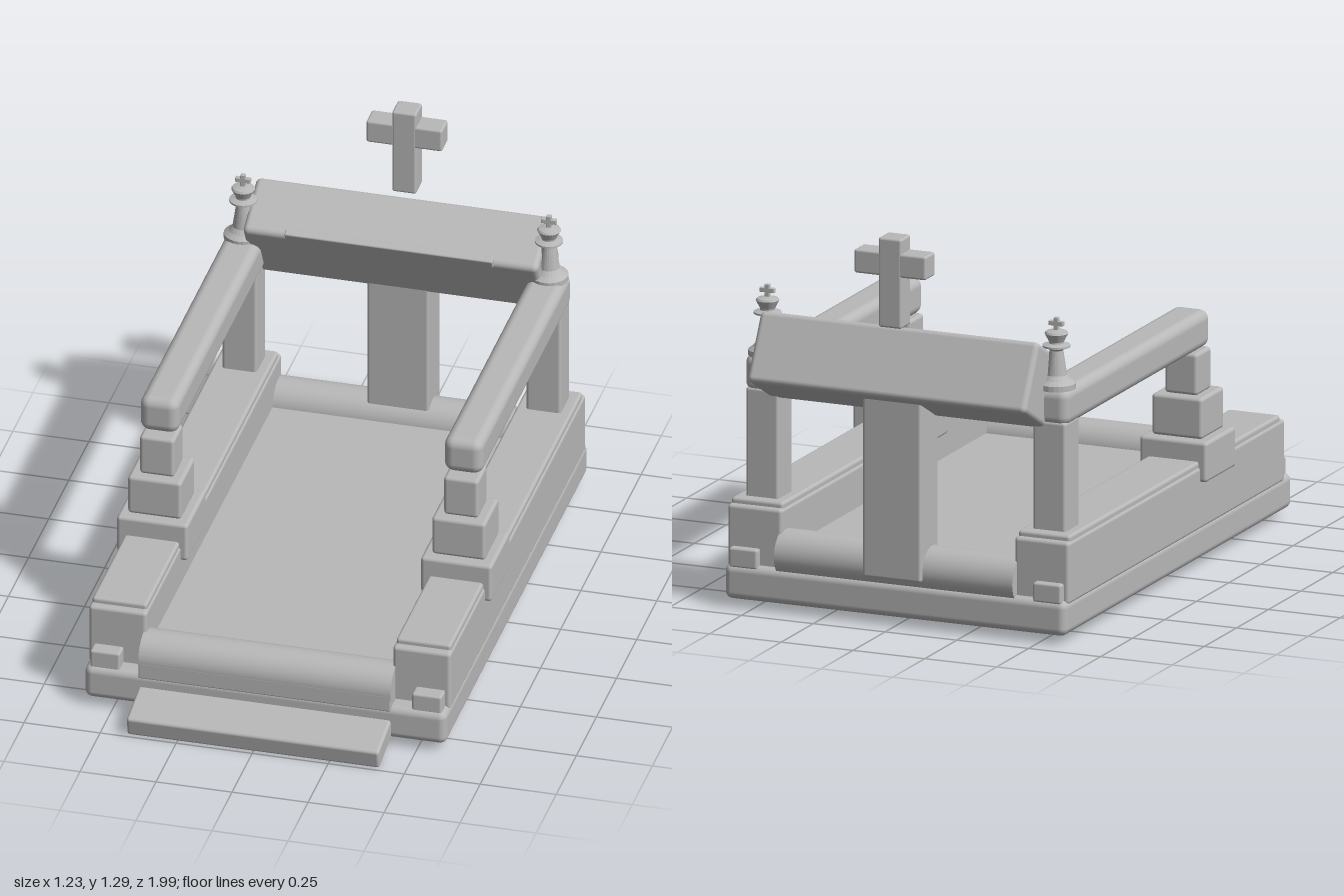
import * as THREE from 'three';
import { RoundedBoxGeometry } from 'three/addons/geometries/RoundedBoxGeometry.js';

export function createModel() {
  const model = new THREE.Group();
  model.name = 'memorial';
  const stone = new THREE.MeshStandardMaterial({ color: 0xb8b8b8 });
  stone.name = 'grey stone';

  function add(name, geometry, parent = model) {
    const mesh = new THREE.Mesh(geometry, stone);
    mesh.name = name;
    parent.add(mesh);
    return mesh;
  }

  // Rounded block given by its extents on each axis
  function block(name, [x0, x1], [y0, y1], [z0, z1], radius = 0.01, parent = model) {
    const geometry = new RoundedBoxGeometry(x1 - x0, y1 - y0, z1 - z0, 3, radius);
    const mesh = add(name, geometry, parent);
    mesh.position.set((x0 + x1) / 2, (y0 + y1) / 2, (z0 + z1) / 2);
    return mesh;
  }

  // Base and the bed between the walls
  block('base', [-0.595, 0.595], [0.03, 0.145], [-0.93, 0.845], 0.025);
  block('bed', [-0.42, 0.42], [0.1, 0.2], [-0.86, 0.77], 0.005);

  // Rolled edges at the front and the back
  for (const [name, z] of [['frontRoll', 0.77], ['backRoll', -0.86]]) {
    const roll = add(name, new THREE.CylinderGeometry(0.078, 0.078, 0.83, 32));
    roll.rotation.z = Math.PI / 2;
    roll.position.set(0, 0.187, z);
  }
  block('frontRollFoot', [-0.415, 0.415], [0.13, 0.187], [0.692, 0.848], 0.005);

  // Sloping step
  const step = block('frontStep', [-0.415, 0.415], [0.019, 0.086], [0.805, 0.995], 0.01);
  step.rotation.x = 0.2;

  // Finial outline, turned round its axis
  const finialProfile = [
    [0, 0.81], [0.062, 0.81], [0.062, 0.828], [0.046, 0.84], [0.034, 0.855],
    [0.022, 0.935], [0.028, 0.942], [0.045, 0.946], [0.045, 0.952],
    [0.024, 0.958], [0.024, 0.963], [0.038, 0.99], [0.034, 0.996], [0, 1.004],
  ].map(([r, y]) => new THREE.Vector2(r, y));

  for (const s of [-1, 1]) {
    const side = new THREE.Group();
    side.name = s > 0 ? 'leftSide' : 'rightSide';
    model.add(side);
    const span = (a, b) => (s > 0 ? [a, b] : [-b, -a]);

    // Long wall with its cap and corner blocks
    block('wall', span(0.405, 0.595), [0.13, 0.335], [-0.9, 0.785], 0.012, side);
    block('wallCap', span(0.41, 0.59), [0.32, 0.353], [-0.88, 0.76], 0.01, side);
    block('frontCornerBlock', span(0.48, 0.578), [0.135, 0.2], [0.74, 0.832], 0.008, side);
    block('backCornerBlock', span(0.48, 0.578), [0.135, 0.2], [-0.926, -0.84], 0.008, side);

    // Stepped pedestal
    [[0.117, 0.285, 0.417], [0.088, 0.417, 0.552], [0.057, 0.55, 0.688]].forEach(([h, y0, y1], i) => {
      block('pedestalTier' + (i + 1), span(0.5 - h, 0.5 + h), [y0, y1], [0.24 - h, 0.24 + h], 0.012, side);
    });

    // Rear post and rail
    block('rearPost', span(0.443, 0.557), [0.34, 0.71], [-0.842, -0.73], 0.01, side);
    block('rail', span(0.436, 0.564), [0.695, 0.818], [-0.845, 0.28], 0.032, side);

    // Finial with a small cross
    const finial = new THREE.Group();
    finial.name = 'finial';
    finial.position.set(s * 0.503, 0, -0.79);
    side.add(finial);
    // Bands with separate normals keep the turned edges crisp
    const lathe = new THREE.LatheGeometry(finialProfile, 24).toNonIndexed();
    lathe.computeVertexNormals();
    add('finialBody', lathe, finial);
    block('finialCrossUpright', [-0.008, 0.008], [0.995, 1.042], [-0.008, 0.008], 0.002, finial);
    block('finialCrossBar', [-0.025, 0.025], [1.015, 1.03], [-0.008, 0.008], 0.002, finial);
  }

  // Central column and tilted headboard
  block('column', [-0.102, 0.102], [0.16, 0.78], [-0.95, -0.81], 0.01);
  const headboard = new THREE.Group();
  headboard.name = 'headboardGroup';
  headboard.position.set(0, 0.83, -0.853);
  headboard.rotation.x = 0.49;
  model.add(headboard);
  block('headboard', [-0.485, 0.485], [-0.118, 0.118], [-0.104, 0.104], 0.018, headboard);
  block('headboardLip', [-0.342, 0.342], [0.105, 0.14], [0.088, 0.112], 0.005, headboard);

  // Large cross
  block('crossUpright', [-0.04, 0.04], [0.993, 1.288], [-0.965, -0.887], 0.008);
  block('crossBar', [-0.125, 0.125], [1.162, 1.24], [-0.964, -0.888], 0.008);

  return model;
}
